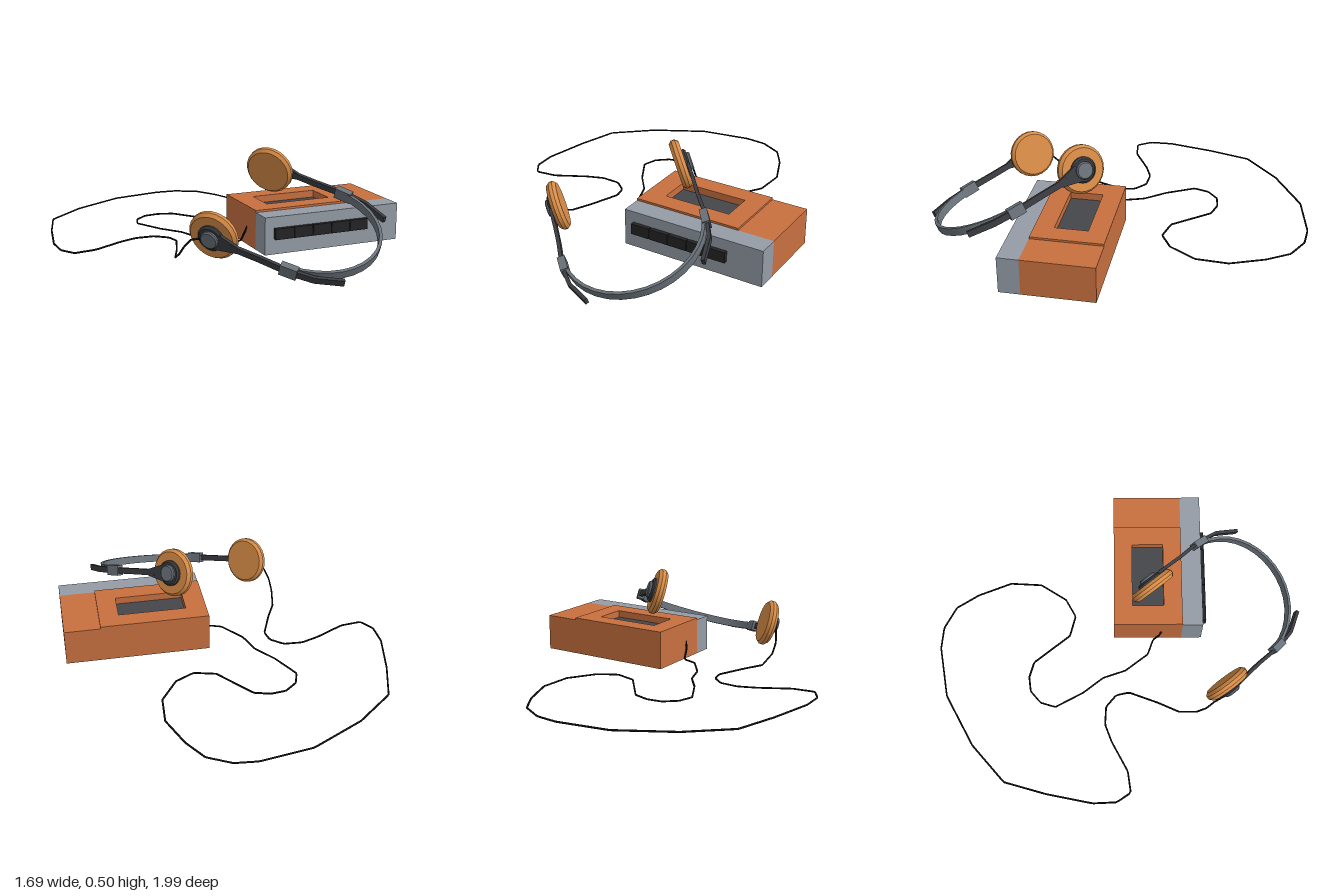
import * as THREE from 'three';
import { toCreasedNormals } from 'three/addons/utils/BufferGeometryUtils.js';

const mat = (name, color) => {
  const m = new THREE.MeshStandardMaterial({ color });
  m.name = name;
  return m;
};

export function createModel() {
  const orange = mat('orange shell', 0xc8703f);
  const silver = mat('silver shell', 0x949ca6);
  const foam = mat('orange foam', 0xd88c47);
  const steel = mat('grey metal', 0x6a727a);
  const dark = mat('dark plastic', 0x3b3c41);
  const windowGrey = mat('window grey', 0x45464b);
  const black = mat('black key', 0x242426);
  const wire = mat('black cable', 0x111111);

  const model = new THREE.Group();
  model.name = 'cassettePlayerWithHeadphones';

  const add = (parent, name, geometry, material, x = 0, y = 0, z = 0) => {
    const mesh = new THREE.Mesh(geometry, material);
    mesh.name = name;
    mesh.position.set(x, y, z);
    parent.add(mesh);
    return mesh;
  };
  // Box given by its minimum and maximum corners
  const block = (parent, name, material, [x0, y0, z0], [x1, y1, z1]) =>
    add(parent, name, new THREE.BoxGeometry(x1 - x0, y1 - y0, z1 - z0), material,
      (x0 + x1) / 2, (y0 + y1) / 2, (z0 + z1) / 2);

  // ---- Cassette player ----
  const player = new THREE.Group();
  player.name = 'player';
  model.add(player);

  const rect = (Type, x0, z0, x1, z1) => new Type([
    new THREE.Vector2(x0, -z0), new THREE.Vector2(x0, -z1),
    new THREE.Vector2(x1, -z1), new THREE.Vector2(x1, -z0)]);
  // Horizontal slab with the window opening cut through it
  const slab = (name, x1, y0, y1) => {
    const shape = rect(THREE.Shape, 0.08, -0.04, x1, 0.33);
    shape.holes.push(rect(THREE.Path, 0.19, 0.06, 0.55, 0.23));
    const g = new THREE.ExtrudeGeometry(shape, { depth: y1 - y0, bevelEnabled: false });
    g.rotateX(-Math.PI / 2);
    add(player, name, g, orange, 0, y0, 0);
  };
  block(player, 'lowerShell', orange, [0.08, 0, -0.04], [0.845, 0.16, 0.33]);
  slab('upperShell', 0.845, 0.16, 0.195);
  slab('door', 0.655, 0.195, 0.206);
  block(player, 'windowFloor', windowGrey, [0.19, 0.16, 0.06], [0.55, 0.168, 0.23]);
  block(player, 'frontShell', silver, [0.08, 0, 0.33], [0.845, 0.195, 0.44]);
  for (let i = 0; i < 5; i++) {
    const x = 0.13 + i * 0.106;
    block(player, 'key' + (i + 1), black, [x, 0.08, 0.44], [x + 0.102, 0.137, 0.462]);
  }

  // ---- Headphones, built upright in their own plane and then laid down ----
  const phones = new THREE.Group();
  phones.name = 'headphones';
  const u = new THREE.Vector3(0.74, 0.3, -0.6).normalize();
  const w = u.clone().cross(new THREE.Vector3(0.68, -0.274, 0.687)).normalize();
  const v = w.clone().cross(u);
  phones.quaternion.setFromRotationMatrix(new THREE.Matrix4().makeBasis(u, v, w));
  phones.position.set(-0.005, 0.273, 0.36);
  model.add(phones);

  // Flat strip following a path in the xy plane, its width running along z
  const strip = (pts, thick, width) => {
    const p = pts.map(([x, y]) => new THREE.Vector2(x, y));
    const side = s => p.map((q, i) => {
      const t = p[Math.min(i + 1, p.length - 1)].clone().sub(p[Math.max(i - 1, 0)]).normalize();
      return new THREE.Vector2(q.x - t.y * s, q.y + t.x * s);
    });
    const shape = new THREE.Shape([...side(thick / 2), ...side(-thick / 2).reverse()]);
    const g = new THREE.ExtrudeGeometry(shape, { depth: width, bevelEnabled: false });
    g.translate(0, 0, -width / 2);
    return toCreasedNormals(g, 0.5);
  };

  const arc = [];
  for (let i = 0; i <= 16; i++) {
    const a = 0.12 + (Math.PI - 0.24) * i / 16;
    arc.push([0.35 * Math.cos(a), 0.36 + 0.35 * Math.sin(a)]);
  }
  add(phones, 'headband', strip(arc, 0.016, 0.042), steel);

  // Turned part with its axis along x
  const turned = profile => {
    const g = new THREE.LatheGeometry(profile.map(([r, y]) => new THREE.Vector2(r, y)), 24);
    g.rotateZ(-Math.PI / 2);
    return toCreasedNormals(g, 0.5);
  };

  for (const [name, turn] of [['left', 0], ['right', Math.PI]]) {
    const side = new THREE.Group();
    side.name = name + 'Earpiece';
    side.rotation.y = turn;
    phones.add(side);

    add(side, 'earPad', turned([[0, -0.026], [0.113, -0.026], [0.127, -0.01],
      [0.127, 0.008], [0.113, 0.025], [0, 0.025]]), foam, 0.325);
    add(side, 'hubRing', turned([[0, 0.02], [0.068, 0.02], [0.068, 0.034],
      [0.058, 0.043], [0, 0.043]]), dark, 0.325);
    add(side, 'hubCap', turned([[0, 0.04], [0.046, 0.04], [0.046, 0.052],
      [0.04, 0.058], [0, 0.058]]), steel, 0.325);

    // Tapered yoke joining the hub to the sliding arm
    const yoke = new THREE.Shape([[-0.045, 0.04], [0.045, 0.04], [0.016, 0.15], [-0.016, 0.15]]
      .map(([x, y]) => new THREE.Vector2(x, y)));
    const yokeGeo = new THREE.ExtrudeGeometry(yoke, { depth: 0.016, bevelEnabled: false });
    yokeGeo.rotateY(-Math.PI / 2);
    add(side, 'yoke', yokeGeo, dark, 0.368);

    add(side, 'slidingArm', strip([[0.36, 0.1], [0.357, 0.25], [0.361, 0.41],
      [0.343, 0.53], [0.281, 0.655]], 0.018, 0.032), dark);
    add(side, 'clip', new THREE.BoxGeometry(0.038, 0.085, 0.056), steel, 0.354, 0.405)
      .rotation.z = 0.06;
  }

  // ---- Cable lying on the ground, [x, z] ----
  const ground = [
    [0.065, 0.175], [-0.02, 0.145], [-0.115, 0.02], [-0.155, -0.1], [-0.24, -0.21],
    [-0.32, -0.36], [-0.295, -0.44], [-0.23, -0.495], [-0.15, -0.505], [-0.065, -0.48],
    [0.09, -0.285], [0.205, -0.255], [0.305, -0.31], [0.395, -0.45], [0.405, -0.62],
    [0.335, -0.8], [0.26, -0.92], [0.14, -0.985], [0.02, -0.996], [-0.255, -0.95],
    [-0.53, -0.8], [-0.73, -0.625], [-0.795, -0.4], [-0.845, -0.155], [-0.84, -0.03],
    [-0.79, 0.045], [-0.675, 0.03], [-0.515, -0.055], [-0.42, -0.09], [-0.32, -0.085],
    [-0.255, -0.03], [-0.24, 0.04], [-0.3, 0.2], [-0.35, 0.31],
  ].map(([x, z]) => new THREE.Vector3(x, 0.005, z));
  const points = [
    new THREE.Vector3(0.085, 0.1, 0.22), new THREE.Vector3(0.072, 0.06, 0.21), ...ground,
    new THREE.Vector3(-0.363, 0.05, 0.4), new THREE.Vector3(-0.357, 0.1, 0.45),
    new THREE.Vector3(-0.335, 0.145, 0.49), new THREE.Vector3(-0.3, 0.165, 0.56),
  ];
  const path = new THREE.CurvePath();
  for (let i = 1; i < points.length; i++) path.add(new THREE.LineCurve3(points[i - 1], points[i]));
  add(model, 'cable', new THREE.TubeGeometry(path, 320, 0.005, 6), wire);

  return model;
}
